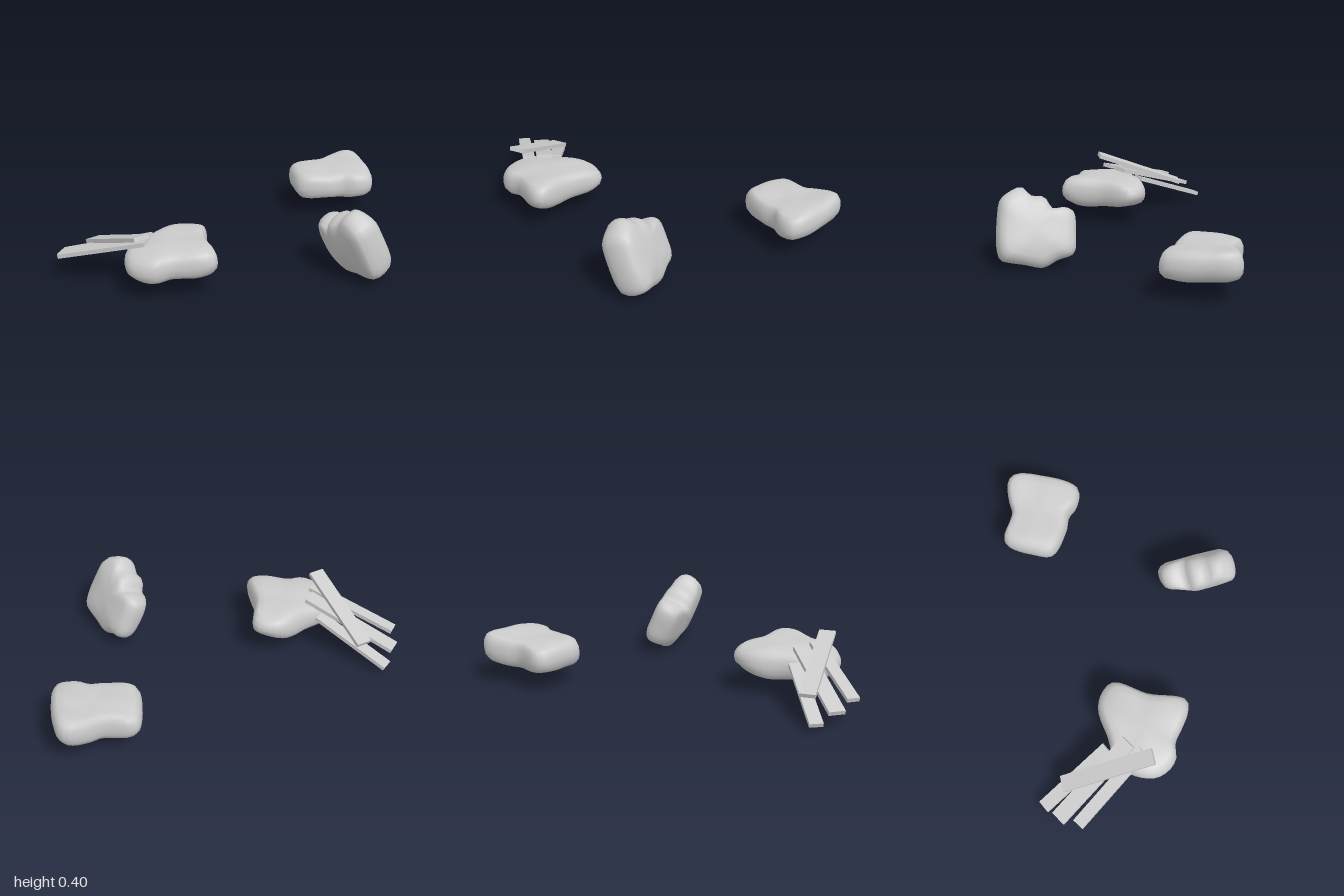
import * as THREE from 'three';
import { mergeVertices } from 'three/addons/utils/BufferGeometryUtils.js';

const material = new THREE.MeshStandardMaterial({ color: 0xcccccc });

// Rounded slab cross-section, bottom centre to top centre: [outline scale, height share]
const SECTION = [
  [0, 0.02], [0.45, 0], [0.75, 0.01], [0.9, 0.1], [0.98, 0.27], [1, 0.48],
  [0.985, 0.7], [0.93, 0.88], [0.84, 0.97], [0.65, 1], [0.35, 1], [0, 1],
];
const SIDES = 48;

// Worn stone slab: a smooth closed outline (x, z) lofted between two height functions
function rock(name, outline, bottom, top) {
  const points = outline.map(([x, z]) => new THREE.Vector3(x, 0, z));
  const curve = new THREE.CatmullRomCurve3(points, true, 'centripetal');
  const ring = curve.getSpacedPoints(SIDES).slice(0, SIDES);
  const centre = ring.reduce((sum, p) => sum.add(p), new THREE.Vector3()).divideScalar(SIDES);
  const positions = [];
  const indices = [];
  SECTION.forEach(([scale, share], j) => {
    ring.forEach((p, i) => {
      const v = centre.clone().lerp(p, scale);
      const lump = 0.005 * Math.sin(v.x * 23 + share * 3) * Math.cos(v.z * 19);
      const y = THREE.MathUtils.lerp(bottom(v.x, v.z), top(v.x, v.z), share) + lump;
      positions.push(v.x, y, v.z);
      if (j === SECTION.length - 1) return;
      const a = j * SIDES + i;
      const b = j * SIDES + (i + 1) % SIDES;
      const c = a + SIDES;
      const d = b + SIDES;
      if (j > 0) indices.push(a, c, b);
      if (j < SECTION.length - 2) indices.push(b, c, d);
      else indices.push();
    });
  });
  let geometry = new THREE.BufferGeometry();
  geometry.setAttribute('position', new THREE.Float32BufferAttribute(positions, 3));
  geometry.setIndex(indices);
  geometry = mergeVertices(geometry, 1e-5);
  geometry.computeVertexNormals();
  const mesh = new THREE.Mesh(geometry, material);
  mesh.name = name;
  return mesh;
}

// Thin board running between the middles of its two ends
function plank(name, from, to, width) {
  const start = new THREE.Vector3(...from);
  const end = new THREE.Vector3(...to);
  const along = end.clone().sub(start);
  const length = along.length();
  along.normalize();
  const across = along.clone().cross(new THREE.Vector3(0, 1, 0)).normalize();
  const up = across.clone().cross(along);
  const mesh = new THREE.Mesh(new THREE.BoxGeometry(length, 0.022, width), material);
  mesh.quaternion.setFromRotationMatrix(new THREE.Matrix4().makeBasis(along, up, across));
  mesh.position.copy(start).add(end).multiplyScalar(0.5);
  mesh.name = name;
  return mesh;
}

export function createModel() {
  const model = new THREE.Group();
  model.name = 'rocksAndPlanks';

  // Flat rock at the back, a little higher at its far end
  model.add(rock('backRock', [
    [-0.36, -1], [-0.21, -0.96], [-0.03, -0.84], [-0.06, -0.75], [-0.12, -0.7],
    [-0.15, -0.63], [-0.27, -0.5], [-0.38, -0.54], [-0.49, -0.62], [-0.5, -0.66],
    [-0.42, -0.79], [-0.42, -0.86], [-0.4, -0.97],
  ],
  (x, z) => 0.11 + 0.7 * Math.max(0, -z - 0.78) ** 2,
  (x, z) => 0.262 + 0.3 * (z + 0.75) ** 2 - 0.05 * (z + 0.75)));

  // Flat rock at the front, under the planks
  model.add(rock('frontRock', [
    [-0.15, 0.3], [0.01, 0.41], [0.2, 0.5], [0.19, 0.56], [0.13, 0.64],
    [0.08, 0.7], [0.06, 0.78], [0, 0.83], [-0.08, 0.845], [-0.19, 0.79],
    [-0.25, 0.7], [-0.25, 0.58], [-0.26, 0.42], [-0.22, 0.34],
  ],
  (x, z) => 0.105 + 0.7 * Math.max(0, 0.55 - z) ** 2 + 0.6 * Math.max(0, x) ** 2,
  (x, z) => 0.272 - 0.28 * (z - 0.48) ** 2 - 0.25 * Math.min(0, x) ** 2));

  // Slab leaning backward at its foot, built lying down and then tilted
  const leaning = rock('leaningRock', [
    [0.265, -0.07], [0.32, -0.095], [0.37, -0.09], [0.41, -0.155], [0.475, -0.165],
    [0.525, -0.212], [0.58, -0.195], [0.635, -0.155], [0.655, -0.08], [0.67, 0.1],
    [0.655, 0.155], [0.62, 0.17], [0.53, 0.19], [0.44, 0.21], [0.36, 0.175],
    [0.28, 0.15], [0.26, 0.05],
  ],
  (x, w) => -0.09 + 0.5 * w * w,
  (x, w) => 0.1 - 0.8 * w * w - 0.3 * Math.max(0, 0.42 - x));
  leaning.rotation.x = 1.98;
  leaning.position.set(0, 0.215, -0.18);
  model.add(leaning);

  // Fanned planks propped on the front rock, with one laid across the others
  const planks = new THREE.Group();
  planks.name = 'planks';
  planks.add(
    plank('topPlank', [-0.54, 0.155, 0.743], [-0.063, 0.333, 0.77], 0.085),
    plank('rightPlank', [-0.66, 0.055, 0.81], [-0.27, 0.215, 0.64], 0.07),
    plank('middlePlank', [-0.605, 0.105, 0.9], [-0.16, 0.27, 0.65], 0.085),
    plank('leftPlank', [-0.515, 0.145, 0.965], [-0.1, 0.28, 0.715], 0.065),
  );
  model.add(planks);
  return model;
}
